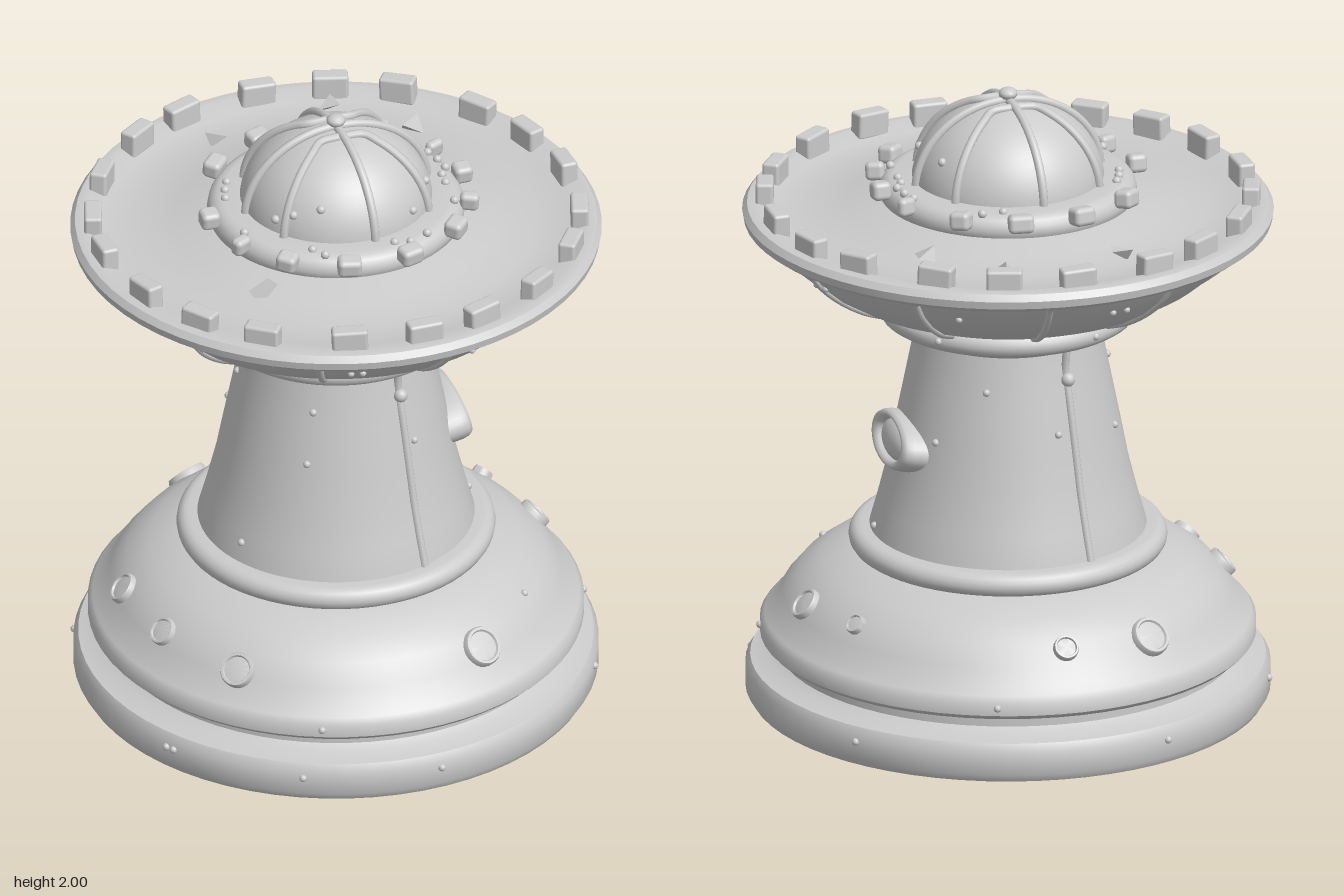
import * as THREE from 'three';
import { toCreasedNormals } from 'three/addons/utils/BufferGeometryUtils.js';
import { RoundedBoxGeometry } from 'three/addons/geometries/RoundedBoxGeometry.js';

const mat = new THREE.MeshStandardMaterial({ color: 0xcccccc });
const rad = THREE.MathUtils.degToRad;

// Outer profiles as [radius, height]
const footProfile = [
  [0, 0], [0.8, 0], [0.815, 0.025], [0.815, 0.1], [0.8, 0.125], [0.74, 0.135], [0.715, 0.15], [0.715, 0.185],
  [0.755, 0.19], [0.77, 0.205], [0.77, 0.245], [0.755, 0.265], [0.73, 0.285], [0.7, 0.34], [0.65, 0.4],
  [0.58, 0.45], [0.48, 0.49], [0.4, 0.5],
];
const neckProfile = [
  [0.44, 0.5], [0.43, 0.56], [0.405, 0.65], [0.375, 0.77], [0.35, 0.9], [0.32, 1.05], [0.3, 1.15],
  [0.29, 1.21], [0.31, 1.235], [0.38, 1.25],
];
const saucerProfile = [
  [0.36, 1.31], [0.44, 1.33], [0.54, 1.37], [0.63, 1.425], [0.7, 1.485], [0.75, 1.55], [0.8, 1.56], [0.82, 1.575],
  [0.825, 1.6], [0.81, 1.62], [0.775, 1.625], [0.72, 1.605], [0.62, 1.605], [0.5, 1.62], [0.42, 1.645], [0.3, 1.66],
];

// Radius of a profile at a height
function radiusAt(profile, y) {
  for (let i = 1; i < profile.length; i++) {
    const [r0, y0] = profile[i - 1], [r1, y1] = profile[i];
    if (y >= y0 && y <= y1 && y1 > y0) return r0 + (r1 - r0) * (y - y0) / (y1 - y0);
  }
  return profile[profile.length - 1][0];
}

// Point at an angle from the front (+z) towards +x
const polar = (deg, r, y) => new THREE.Vector3(Math.sin(rad(deg)) * r, y, Math.cos(rad(deg)) * r);

export function createModel() {
  const model = new THREE.Group();
  const add = (name, geo, parent = model) => {
    const m = new THREE.Mesh(geo, mat);
    m.name = name;
    parent.add(m);
    return m;
  };
  const group = (name) => {
    const g = new THREE.Group();
    g.name = name;
    model.add(g);
    return g;
  };
  const lathe = (name, pts) => add(name, toCreasedNormals(
    new THREE.LatheGeometry(pts.map(([r, y]) => new THREE.Vector2(r, y)), 64), rad(38)));
  // Closed band with rounded edges
  const band = (name, inner, outer, y0, y1) => {
    const h = (y1 - y0) / 2, pts = [[inner, y0]];
    for (let i = 0; i <= 8; i++) {
      const a = -Math.PI / 2 + Math.PI * i / 8;
      pts.push([outer - h + Math.cos(a) * h, (y0 + y1) / 2 + Math.sin(a) * h]);
    }
    pts.push([inner, y1]);
    return lathe(name, pts);
  };
  const tube = (name, pts, r, parent) =>
    add(name, new THREE.TubeGeometry(new THREE.CatmullRomCurve3(pts), 24, r, 8), parent);
  const ball = (name, pos, r, parent, squash = 1) => {
    const m = add(name, new THREE.SphereGeometry(r, 12, 8), parent);
    m.position.copy(pos);
    m.scale.y = squash;
    return m;
  };

  // Main turned bodies
  lathe('foot', footProfile);
  band('shoulderRing', 0.4, 0.495, 0.485, 0.56);
  lathe('neck', neckProfile);
  band('collar', 0.28, 0.405, 1.245, 1.32);
  lathe('saucer', saucerProfile);
  band('domeRing', 0.28, 0.4, 1.62, 1.715);

  // Dome with ribs and finial
  const domeR = (t) => 0.3 * Math.cos(t), domeY = (t) => 1.69 + 0.265 * Math.sin(t);
  const domePts = [[0.3, 1.64]];
  for (let i = 0; i <= 14; i++) domePts.push([domeR(i / 14 * Math.PI / 2), domeY(i / 14 * Math.PI / 2)]);
  lathe('dome', domePts);
  const ribs = group('domeRibs');
  [4, 51, 92, 130, 184, 231, 272, 308].forEach((deg, i) => {
    const end = i % 2 ? 1.28 : 1.55, pts = [];
    for (let k = 0; k <= 8; k++) {
      const t = end * k / 8;
      pts.push(polar(deg, domeR(t) + 0.005, domeY(t) + 0.004));
    }
    // Diagonal ribs bend into the straight ones near the top
    if (i % 2) pts.push(polar(i === 1 || i === 5 ? deg - 40 : deg + 40, 0.055, 1.952));
    tube('domeRib', pts, 0.014, ribs);
  });
  ball('finial', new THREE.Vector3(0, 1.98, 0), 0.03, model, 0.66);

  // Battlements on the rim, slightly uneven
  const wall = group('battlements');
  for (let i = 0; i < 20; i++) {
    const m = add('merlon', new RoundedBoxGeometry(0.112, 0.085, 0.055, 2, 0.01), wall);
    m.position.copy(polar(i * 18 + 1.5 * Math.cos(i * 2.3), 0.755, 1.64 + 0.004 * Math.sin(i * 1.7)));
    m.rotation.set(0, rad(i * 18 + 2 * Math.sin(i * 3.1)), 0.05 * Math.sin(i * 2.1));
  }

  // Blocks and beads around the dome ring
  const studs = group('ringStuds');
  [[14, 0.075], [-14, 0.075], [44, 0.07], [-41, 0.065], [90, 0.06], [-91, 0.06], [142, 0.065], [168, 0.08],
    [196, 0.075], [225, 0.075], [66, 0.042], [-65, 0.042], [113, 0.035]].forEach(([deg, s]) => {
    const m = add('ringStud', new RoundedBoxGeometry(s, 0.058, 0.06, 3, 0.016), studs);
    m.position.copy(polar(deg, 0.415, 1.705));
    m.rotation.set(0.15, rad(deg), 0);
  });
  [12, 19, 30, 63, 80, 88, 94, 102, 110, 150, 160, 240, 248, 256, 290, 328, 335].forEach((deg) =>
    ball('ringBead', polar(deg, deg % 4 ? 0.37 : 0.345, 1.717), 0.014, studs));
  [35, 62, 112, 300, 312, 330].forEach((deg, i) => {
    const t = 0.25 + 0.12 * (i % 3);
    ball('domeBead', polar(deg, domeR(t), domeY(t)), 0.014, studs);
  });

  // Loose shards lying on the saucer
  const shards = group('shards');
  [[-0.19, -0.56, 0.06], [0.2, -0.62, 0.055], [0.4, -0.42, 0.085], [-0.36, 0.34, 0.075]].forEach(([x, z, s], i) => {
    const m = add('shard', new THREE.TetrahedronGeometry(s).toNonIndexed(), shards);
    m.position.set(x, 1.635, z);
    m.rotation.set(0.5 + i, 0.9 * i, 0.4);
    m.scale.set(0.9, 0.4, 0.6);
  });

  // Raised seams under the saucer
  const seams = group('saucerSeams');
  for (let i = 0; i < 11; i++) {
    const pts = [1.335, 1.37, 1.425, 1.485, 1.54].map((y) => polar(9 + i * 360 / 11, radiusAt(saucerProfile, y), y));
    tube('saucerSeam', pts, 0.011, seams);
  }

  // Neck seams, front and back
  const neckSeams = group('neckSeams');
  for (const deg of [20, 199]) {
    const pts = [0.55, 0.65, 0.77, 0.9, 1.05, 1.15, 1.23].map((y) => polar(deg, radiusAt(neckProfile, y), y));
    tube('neckSeam', pts, 0.013, neckSeams);
    ball('seamKnob', polar(deg, radiusAt(neckProfile, 1.125) + 0.008, 1.125), 0.022, neckSeams);
  }

  // Oval porthole on the left side of the neck
  const port = group('porthole');
  port.position.set(0.355, 0.87, 0);
  port.rotation.set(0, Math.PI / 2, 0.2);
  port.rotation.order = 'ZYX';
  const plate = add('portholeRim', new THREE.LatheGeometry(
    [[1, -0.05], [1, 0.005], [0.97, 0.025], [0.9, 0.038], [0.78, 0.038], [0.7, 0.028], [0.66, 0.015]]
      .map(([r, y]) => new THREE.Vector2(r, y)), 40), port);
  plate.rotation.x = Math.PI / 2;
  plate.scale.set(0.172, 1, 0.086);
  const pane = add('portholeGlass', new THREE.SphereGeometry(1, 32, 16), port);
  pane.scale.set(0.123, 0.062, 0.04);

  // Round bosses on the foot, leaning with the slope
  const bosses = group('footBosses');
  [[22, 0.37, 0.063], [-46, 0.355, 0.055], [94, 0.375, 0.052], [117, 0.39, 0.032], [203, 0.37, 0.063],
    [178, 0.38, 0.04], [264, 0.37, 0.05], [288, 0.37, 0.045]].forEach(([deg, y, r]) => {
    const boss = new THREE.Group();
    boss.position.copy(polar(deg, radiusAt(footProfile, y), y));
    boss.rotation.set(rad(-42), rad(deg), 0, 'YXZ');
    bosses.add(boss);
    const pts = [[r, -0.03], [r, 0.01], [r * 0.93, 0.019], [r * 0.8, 0.019], [r * 0.74, 0.012], [0, 0.02]];
    add('footBoss', toCreasedNormals(new THREE.LatheGeometry(
      pts.map(([a, b]) => new THREE.Vector2(a, b)), 24), rad(50)), boss).rotation.x = Math.PI / 2;
  });

  // Small rivets: angle, height
  const rivets = group('rivets');
  const rivet = (profile, list, r) => list.forEach(([deg, y]) =>
    ball('rivet', polar(deg, radiusAt(profile, y), y), r, rivets));
  rivet(neckProfile, [[-33, 1.1], [-35, 0.93], [26, 0.96], [-65, 0.62], [122, 0.92], [190, 0.96], [150, 1.1],
    [85, 0.58], [235, 0.92], [260, 1.1]], 0.012);
  rivet(footProfile, [[-23, 0.23], [-58, 0.08], [-27, 0.08], [4, 0.08], [127, 0.08], [60, 0.08], [160, 0.23],
    [200, 0.08], [245, 0.08], [300, 0.08], [47, 0.41], [75, 0.23]], 0.012);
  rivet(saucerProfile, [[-16, 1.49], [-13, 1.49], [17, 1.49], [52, 1.49], [56, 1.49], [105, 1.49], [109, 1.49],
    [150, 1.49], [190, 1.49], [194, 1.49], [240, 1.49], [285, 1.49], [-55, 1.51]], 0.011);
  for (const deg of [-55, 10, 14, 70, 130, 205, 260]) ball('rivet', polar(deg, 0.402, 1.285), 0.012, rivets);

  return model;
}
